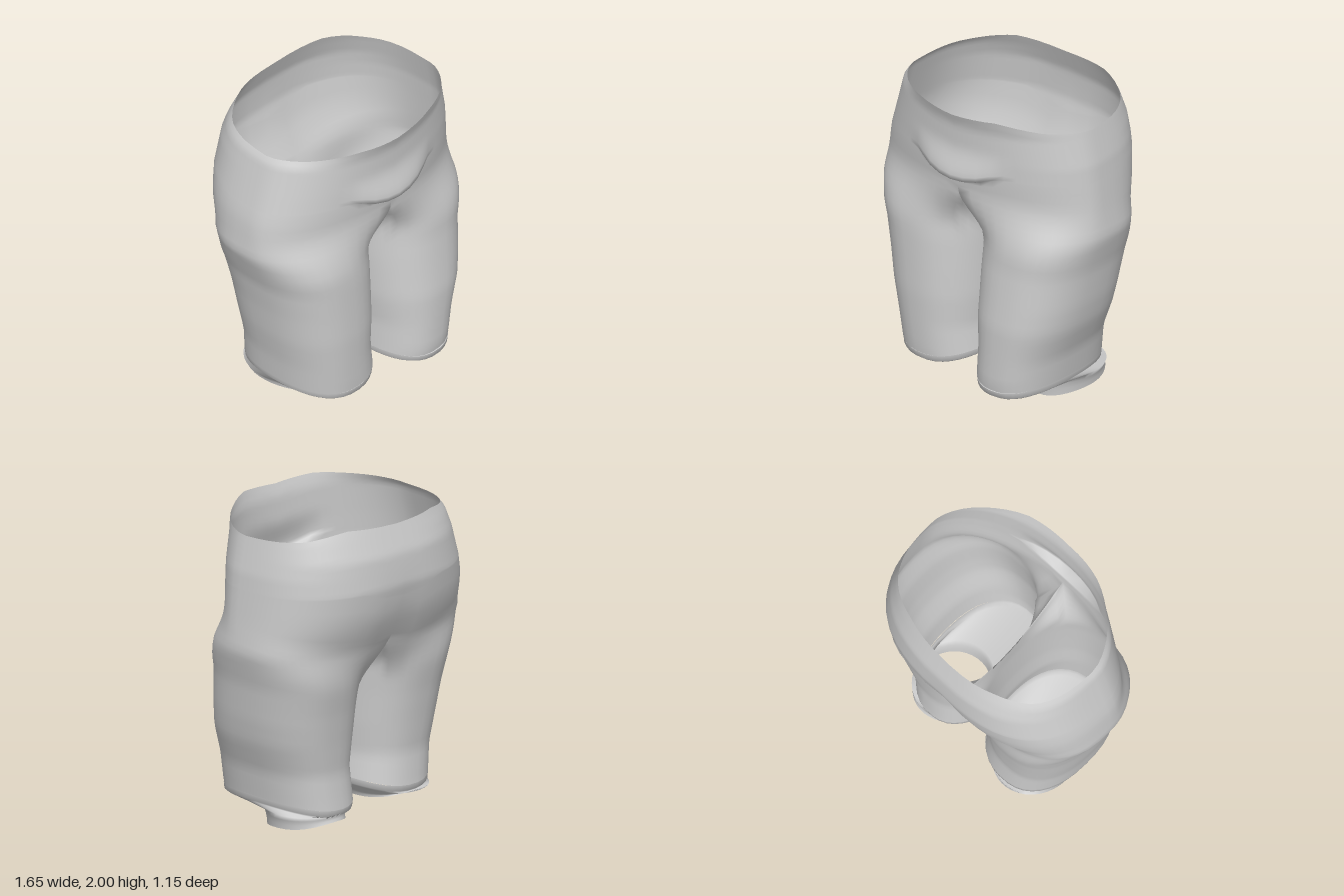
import * as THREE from 'three';
import { mergeGeometries, mergeVertices } from 'three/addons/utils/BufferGeometryUtils.js';

const { lerp, smoothstep } = THREE.MathUtils;
const PI = Math.PI;

// Linear lookup in a list of [position, value] pairs sorted upwards
function look(table, p) {
  if (p <= table[0][0]) return table[0][1];
  for (let i = 1; i < table.length; i++) {
    const [a, va] = table[i - 1], [b, vb] = table[i];
    if (p <= b) return lerp(va, vb, (p - a) / (b - a));
  }
  return table[table.length - 1][1];
}

// Silhouette by height; the two sides differ a little
const back = [[0.1, -0.34], [0.2, -0.33], [0.4, -0.315], [0.6, -0.34], [0.8, -0.37], [1, -0.41],
  [1.2, -0.45], [1.4, -0.54], [1.6, -0.575], [1.8, -0.56], [2, -0.485]];
const sides = [
  { s: 1, name: 'left',
    outer: [[0.15, 0.6], [0.4, 0.64], [0.6, 0.71], [0.75, 0.74], [0.98, 0.77], [1.2, 0.825], [1.4, 0.8], [1.7, 0.77], [1.93, 0.72], [2, 0.69]],
    inner: [[0.2, 0.04], [0.4, 0.05], [0.6, 0.03], [0.9, 0.02]],
    front: [[0.12, 0.55], [0.2, 0.57], [0.6, 0.57], [1, 0.525], [1.45, 0.505], [1.55, 0.52], [1.7, 0.53], [1.9, 0.54], [2, 0.575]],
    rim: [[0, 1.97], [0.15, 2], [0.3, 1.95], [0.5, 1.92], [0.7, 1.94], [0.85, 1.99], [1, 1.97]],
    hem: 0.12, hole: { x: 0.37, z: -0.07, rx: 0.22, rz: 0.24, y: 0 } },
  { s: -1, name: 'right',
    outer: [[0.15, 0.6], [0.4, 0.63], [0.6, 0.67], [0.8, 0.7], [1, 0.74], [1.25, 0.83], [1.5, 0.8], [1.7, 0.74], [1.9, 0.68], [1.97, 0.62]],
    inner: [[0.2, -0.03], [0.4, 0], [0.6, -0.01], [0.9, -0.01]],
    front: [[0.12, 0.48], [0.2, 0.5], [0.6, 0.52], [1, 0.52], [1.45, 0.505], [1.55, 0.52], [1.7, 0.53], [1.9, 0.54], [2, 0.575]],
    rim: [[0, 1.97], [0.15, 1.985], [0.3, 1.96], [0.5, 1.93], [0.7, 1.94], [0.85, 1.98], [1, 1.97]],
    hem: 0.14, hole: { x: 0.32, z: -0.06, rx: 0.23, rz: 0.26, y: 0.05 } },
];

const pow = (v, n) => Math.sign(v) * Math.abs(v) ** (2 / n);

// Half outline of the hips, u from front centre round the side to back centre
function hip(d, u, y) {
  const c = Math.cos(u), n = lerp(2.6, 2.05, smoothstep(c, -0.3, 0.3));
  const zc = 0.08, end = c > 0 ? look(d.front, y) : look(back, y);
  const x = u > PI - 1e-6 ? 0 : look(d.outer, y) * pow(Math.sin(u), n);
  return [x, zc + (end - zc) * Math.abs(pow(c, n))];
}

// Closed outline of one leg
function legOutline(d, a, y) {
  const o = look(d.outer, y), i = look(d.inner, y), f = look(d.front, y), b = look(back, y);
  return [(o + i) / 2 + (o - i) / 2 * pow(Math.sin(a), 2.35), (f + b) / 2 + (f - b) / 2 * pow(Math.cos(a), 2.35)];
}

// Skin over a grid of points; x is mirrored by the side sign
function skin(d, rows, cols, point) {
  const pos = [], idx = [];
  for (let r = 0; r <= rows; r++) for (let k = 0; k <= cols; k++) {
    const [x, y, z] = point(r, k);
    pos.push(d.s * x, y, z);
    if (r === rows || k === cols) continue;
    const a = r * (cols + 1) + k, b = a + cols + 1;
    if (d.s > 0) idx.push(a, b, a + 1, b, b + 1, a + 1);
    else idx.push(a, a + 1, b, b, a + 1, b + 1);
  }
  const g = new THREE.BufferGeometry();
  g.setAttribute('position', new THREE.Float32BufferAttribute(pos, 3));
  g.setIndex(idx);
  return g;
}

// Weld the pieces so the shading runs smoothly over their joins
function weld(parts) {
  const g = mergeVertices(mergeGeometries(parts), 1e-4);
  g.computeVertexNormals();
  return g;
}

const HALF = 28, INNER = 14, RING = HALF + INNER, SPREAD = 0.7;
const hipBottom = (u) => look([[0, 1.45], [0.5, 1.4], [1, 1.25]], u / PI);

// Hips with a rolled belly fold at the front
function hipSkin(d) {
  const upper = 14, rows = 18;
  return skin(d, rows, HALF, (r, k) => {
    const u = PI * k / HALF, x0 = hip(d, u, 1.55)[0];
    const lip = 1.53 + 0.07 * Math.min(1, (x0 / 0.3) ** 2);
    const y = r <= upper ? lerp(look(d.rim, k / HALF), lip, r / upper)
      : lerp(lip - 0.012, hipBottom(u), (r - upper - 1) / (rows - upper - 1));
    let [x, z] = hip(d, u, y);
    if (r <= upper && u < PI / 2) {
      z += 0.06 * Math.max(0, 1 - (x / 0.34) ** 2) * (1 - smoothstep(y, lip, 1.76));
    }
    // shallow cleft at the back
    if (u > PI / 2) z += 0.025 * Math.exp(-((x / 0.12) ** 2)) * (1 - smoothstep(y, 1.3, 1.75));
    return [x, y, z];
  });
}

const legAngle = (k) => k <= HALF ? lerp(-SPREAD, PI + SPREAD, k / HALF)
  : lerp(PI + SPREAD, 2 * PI - SPREAD, (k - HALF) / INNER);

// Lower edge of the outer cloth, dipping in the middle of the leg
function hemPoint(d, k, lift, inset) {
  const [x, z] = legOutline(d, legAngle(k), 0.2);
  const cx = 0.31, cz = 0.08;
  const rise = 0.05 * ((x - cx) / 0.3) ** 2;
  return [lerp(x, cx, inset), d.hem + rise + lift, lerp(z, cz, inset)];
}

// Leg from the crotch line down to the hem
function legSkin(d) {
  const rows = 26;
  const seamFront = hip(d, 0, 1.45)[1], seamBack = hip(d, PI, 1.25)[1] + 0.025;
  return skin(d, rows, RING, (r, k0) => {
    const k = k0 % RING, v = (k - HALF) / INNER, u = PI * k / HALF, outside = k <= HALF;
    const topY = outside ? hipBottom(u) : lerp(1.25, 1.45, v) - 0.2 * Math.sin(PI * v);
    const y = lerp(topY, hemPoint(d, k, 0.05, 0)[1], r / rows);
    const w = 1 - smoothstep(topY - y, 0, outside ? 0.36 : 0.22);
    const [lx, lz] = legOutline(d, legAngle(k), y);
    let [x, z] = outside ? hip(d, u, y) : [0, lerp(seamBack, seamFront, v)];
    if (outside && u > PI / 2) z += 0.025 * Math.exp(-((x / 0.12) ** 2));
    return [lerp(lx, x, w), y, lerp(lz, z, w)];
  });
}

// Hem turned under the leg, then a short cuff round the opening
function hemSkin(d) {
  const h = d.hole;
  return skin(d, 6, RING, (r, k0) => {
    const k = k0 % RING, a = legAngle(k);
    if (r < 3) return hemPoint(d, k, [0.05, 0.015, 0][r], [0, 0.01, 0.06][r]);
    const flare = [1.1, 1.04, 1.01, 1][r - 3];
    const x = h.x + h.rx * flare * Math.sin(a), z = h.z + h.rz * flare * Math.cos(a);
    const rimY = h.y + 0.045 * (1 - Math.cos(a)) + 0.008 * (1 - Math.cos(3 * a));
    return [x, lerp(0.145, rimY, (r - 3) / 3), z - 0.03 * (1 - Math.cos(a)) / 2 * (r - 3) / 3];
  });
}

export function createModel() {
  const material = new THREE.MeshStandardMaterial({ color: 0xcccccc, side: THREE.DoubleSide });
  const group = new THREE.Group();
  group.name = 'shorts';
  const add = (name, parts) => {
    const mesh = new THREE.Mesh(weld(parts), material);
    mesh.name = name;
    group.add(mesh);
  };
  add('hipsAndLegs', sides.flatMap((d) => [hipSkin(d), legSkin(d)]));
  for (const d of sides) add(d.name + 'Hem', [hemSkin(d)]);
  return group;
}
